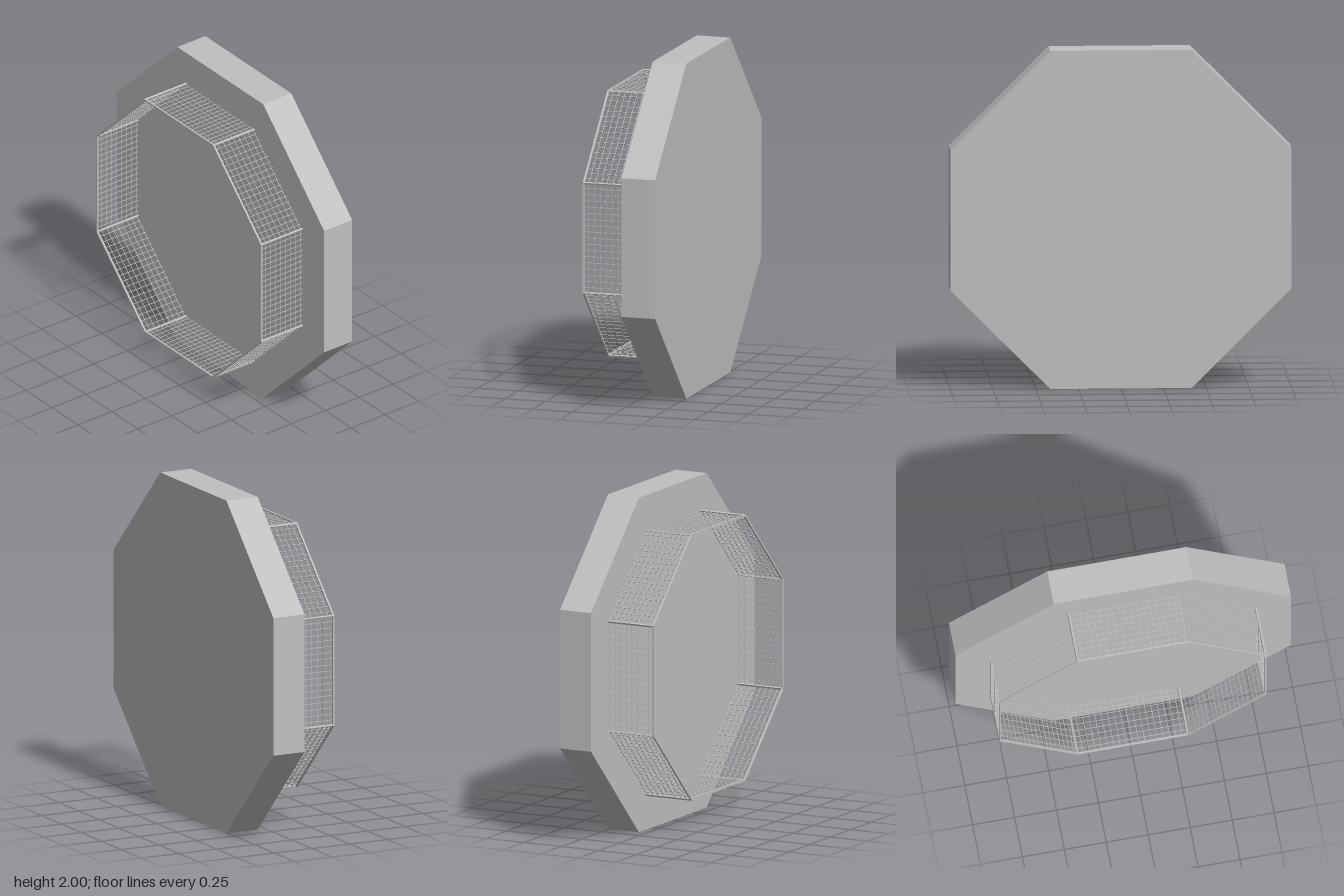
import * as THREE from 'three';
import { mergeGeometries } from 'three/addons/utils/BufferGeometryUtils.js';

const SIDES = 8;
const STEP = Math.PI / 4;
const BACK = -0.257, FLOOR = -0.05, TOP = 0.257; // z levels of slab and fence
const APOTHEM = 0.79; // fence distance from the centre
const HALF = APOTHEM * Math.tan(STEP / 2);
const PITCH = 0.037; // mesh spacing
const RAIL = 0.011, WIRE = 0.003;

function bar(w, h, d, x, y, z) {
  return new THREE.BoxGeometry(w, h, d).translate(x, y, z);
}

// One wire panel, lying along x at the top of the octagon
function panelGeometry() {
  const parts = [];
  const depth = TOP - FLOOR, midZ = (TOP + FLOOR) / 2;
  for (let i = -8; i <= 8; i++) {
    parts.push(bar(WIRE, WIRE, depth, i * PITCH, APOTHEM, midZ));
  }
  for (let k = 1; k <= 8; k++) {
    parts.push(bar(HALF * 2, WIRE, WIRE, 0, APOTHEM, TOP - k * PITCH));
  }
  return mergeGeometries(parts);
}

export function createModel() {
  const model = new THREE.Group();
  model.name = 'octagonCage';
  const grey = new THREE.MeshStandardMaterial({ color: 0xc0c0c0 });
  grey.name = 'grey';

  const add = (parent, name, geometry) => {
    const mesh = new THREE.Mesh(geometry, grey);
    mesh.name = name;
    parent.add(mesh);
    return mesh;
  };

  // Solid octagonal platform
  const outline = new THREE.Shape();
  const radius = 1 / Math.cos(STEP / 2);
  for (let i = 0; i < SIDES; i++) {
    const a = (i + 0.5) * STEP;
    outline[i ? 'lineTo' : 'moveTo'](radius * Math.cos(a), radius * Math.sin(a));
  }
  outline.closePath();
  const slab = new THREE.ExtrudeGeometry(outline, { depth: FLOOR - BACK, bevelEnabled: false });
  add(model, 'platform', slab.translate(0, 0, BACK));

  // Fence: eight panels, each with a rim rail and a corner post
  const fence = new THREE.Group();
  fence.name = 'fence';
  const wires = panelGeometry();
  const rail = bar(HALF * 2 + 0.004, RAIL, RAIL, 0, APOTHEM, TOP - RAIL / 2);
  const post = bar(RAIL, RAIL, TOP - FLOOR, 0, 0, (TOP + FLOOR) / 2)
    .rotateZ(STEP / 2).translate(HALF, APOTHEM, 0);
  for (let i = 0; i < SIDES; i++) {
    const side = new THREE.Group();
    side.name = 'fenceSide' + (i + 1);
    add(side, 'wireMesh', wires);
    add(side, 'rimRail', rail);
    add(side, 'cornerPost', post);
    side.rotation.z = i * STEP;
    fence.add(side);
  }
  model.add(fence);

  model.position.y = 1;
  const root = new THREE.Group();
  root.name = 'model';
  root.add(model);
  return root;
}
